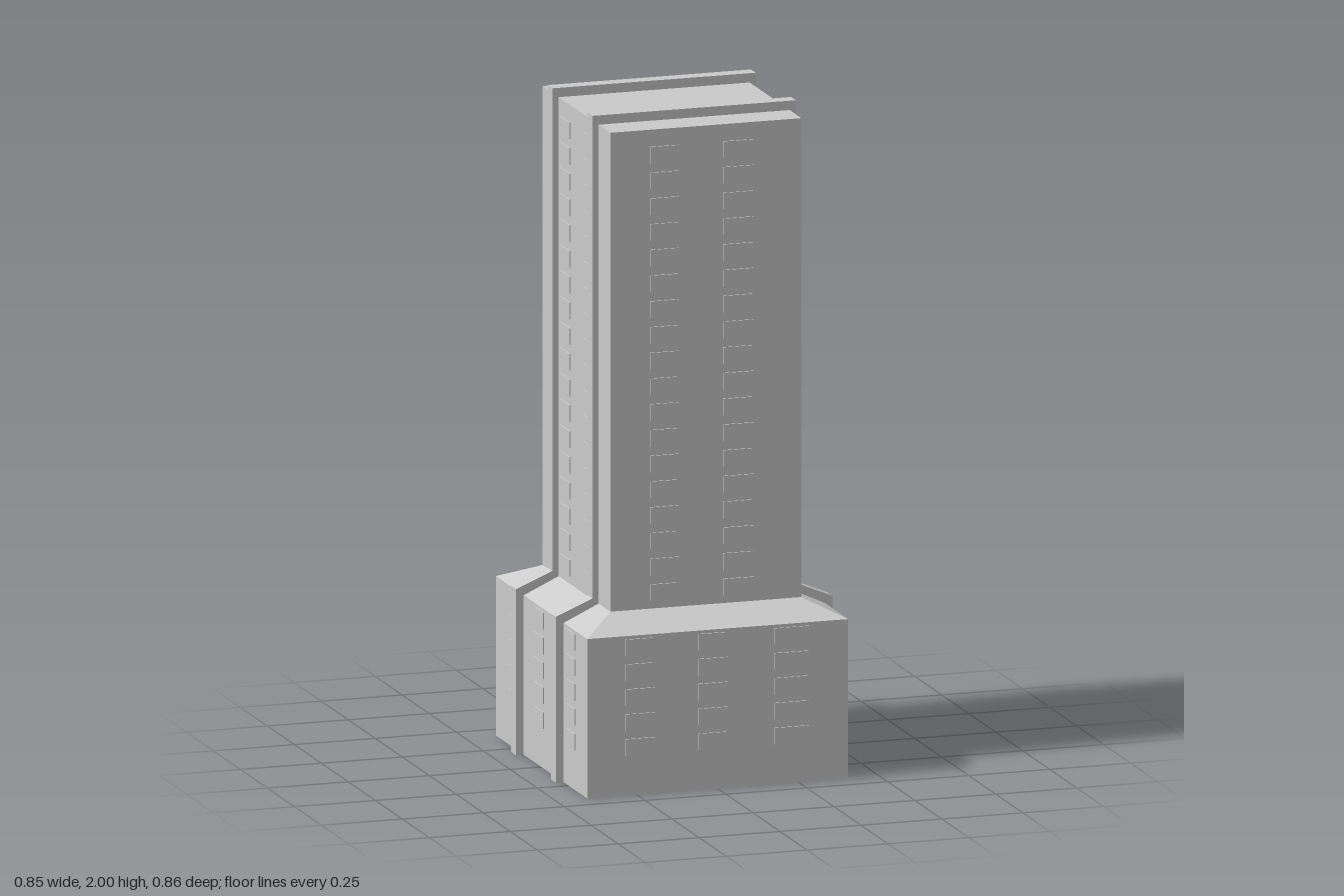
import * as THREE from 'three';
import { mergeGeometries } from 'three/addons/utils/BufferGeometryUtils.js';

const grey = new THREE.MeshStandardMaterial({ color: 0xcccccc, flatShading: true });

// Joins rectangular rings [halfX, halfZ, y] into one flat-sided skin
function loftRects(rings) {
  const signs = [[1, 1], [1, -1], [-1, -1], [-1, 1]];
  const points = [];
  const at = ([hx, hz, y], k) => [signs[k % 4][0] * hx, y, signs[k % 4][1] * hz];
  for (let i = 0; i < rings.length - 1; i++) {
    for (let k = 0; k < 4; k++) {
      const a = at(rings[i], k), b = at(rings[i], k + 1);
      const c = at(rings[i + 1], k + 1), d = at(rings[i + 1], k);
      points.push(...a, ...b, ...c, ...a, ...c, ...d);
    }
  }
  const geometry = new THREE.BufferGeometry();
  geometry.setAttribute('position', new THREE.Float32BufferAttribute(points, 3));
  geometry.computeVertexNormals();
  return geometry;
}

// Grid of thin panes on one facade; columns are [centre, width] along the wall
function windowGrid(name, columns, rows, firstY, pitch, wall, axis) {
  const panes = [];
  for (const [centre, width] of columns) {
    for (let r = 0; r < rows; r++) {
      const y = firstY + r * pitch;
      const pane = axis === 'z'
        ? new THREE.BoxGeometry(width, 0.05, 0.008).translate(centre, y, wall)
        : new THREE.BoxGeometry(0.008, 0.05, width).translate(wall, y, centre);
      panes.push(pane);
    }
  }
  const mesh = new THREE.Mesh(mergeGeometries(panes), grey);
  mesh.name = name;
  return mesh;
}

export function createModel() {
  const model = new THREE.Group();
  model.name = 'towerBlock';

  // Hollow shell: inner skin downwards, bottom rim, then outer skin upwards
  const shell = new THREE.Mesh(loftRects([
    [0, 0, 1.94], [0.27, 0.29, 1.94], [0.27, 0.29, 0.53], [0.35, 0.37, 0.47], [0.35, 0.37, 0],
    [0.403, 0.424, 0], [0.403, 0.424, 0.48], [0.295, 0.314, 0.53],
    [0.295, 0.314, 1.972], [0, 0, 1.972],
  ]), grey);
  shell.name = 'buildingShell';
  model.add(shell);

  // Two bands wrapping over the roof and down both sides
  const outer = [[0.427, 0], [0.427, 0.5], [0.314, 0.547], [0.314, 2]];
  const inner = [[0.285, 1.96], [0.285, 0.525], [0.39, 0.475], [0.39, 0]];
  const mirror = (list) => list.map(([x, y]) => [-x, y]).reverse();
  const outline = [...outer, ...mirror(outer), ...mirror(inner), ...inner];
  const bandShape = new THREE.Shape(outline.map(([x, y]) => new THREE.Vector2(x, y)));
  for (const z of [-0.187, 0.183]) {
    const band = new THREE.Mesh(
      new THREE.ExtrudeGeometry(bandShape, { depth: 0.044, bevelEnabled: false }), grey);
    band.position.z = z - 0.022;
    band.name = z > 0 ? 'frontBand' : 'backBand';
    model.add(band);
  }

  // Windows on the front and back
  const towerColumns = [[-0.128, 0.086], [0.1, 0.094]];
  const baseColumns = [[-0.24, 0.09], [-0.015, 0.088], [0.228, 0.105]];
  for (const [side, s] of [['front', 1], ['back', -1]]) {
    model.add(windowGrid(side + 'TowerWindows', towerColumns, 18, 0.578, 0.0775, s * 0.314, 'z'));
    model.add(windowGrid(side + 'BaseWindows', baseColumns, 5, 0.145, 0.075, s * 0.424, 'z'));
  }

  // Windows on the sides: wide pairs on +x, narrower ones on -x
  const widePair = [[0.085, 0.14], [-0.082, 0.14]];
  const narrowPair = [[-0.1, 0.09], [0.115, 0.09]];
  const leftBase = [[-0.25, 0.09], [-0.02, 0.09], [0.27, 0.09]];
  model.add(windowGrid('leftTowerWindows', widePair, 18, 0.578, 0.0775, 0.295, 'x'));
  model.add(windowGrid('leftBaseWindows', widePair, 5, 0.145, 0.075, 0.403, 'x'));
  model.add(windowGrid('rightTowerWindows', narrowPair, 18, 0.578, 0.0775, -0.295, 'x'));
  model.add(windowGrid('rightBaseWindows', leftBase, 5, 0.145, 0.075, -0.403, 'x'));

  return model;
}
